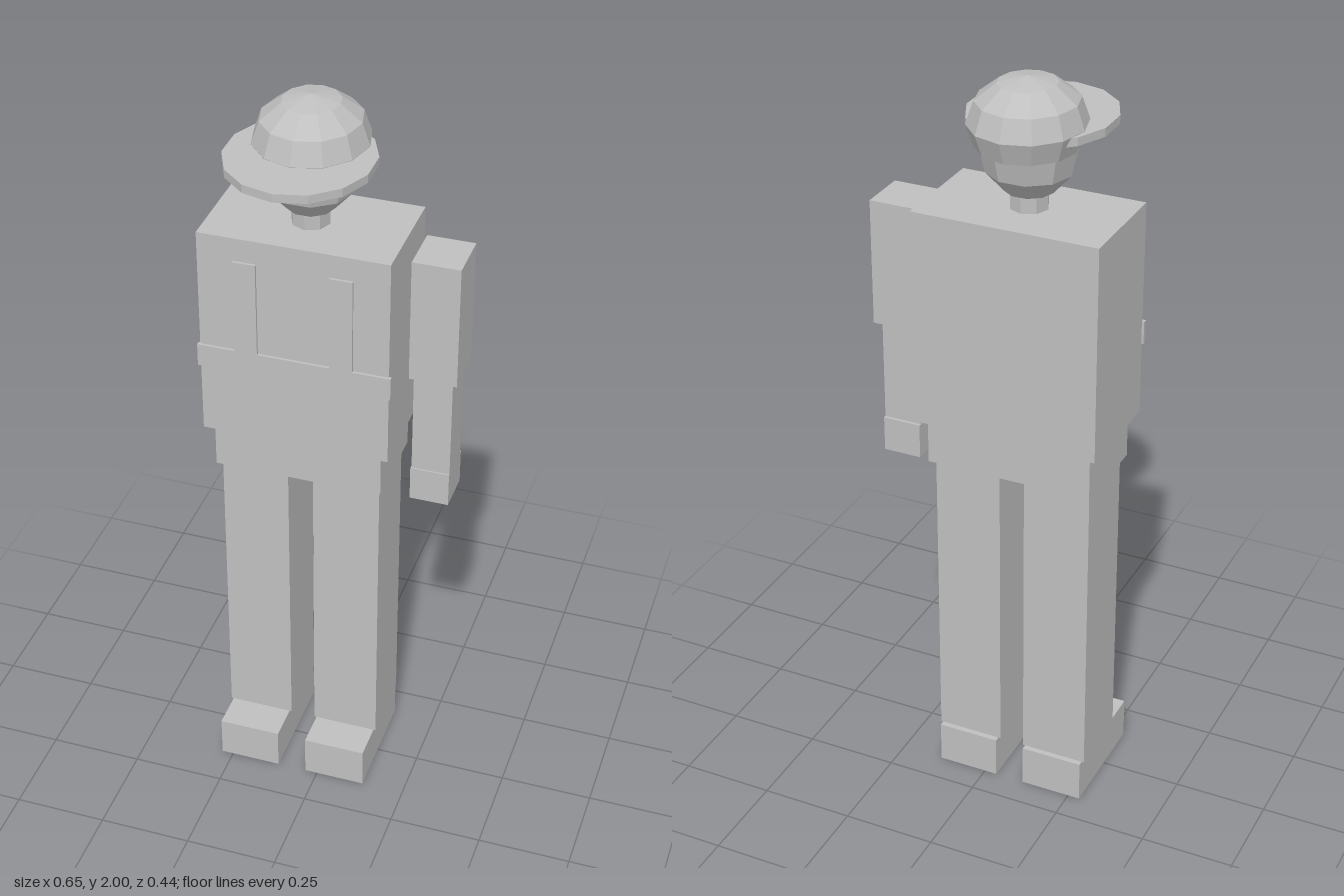
import * as THREE from 'three';

export function createModel() {
  const model = new THREE.Group();
  const grey = new THREE.MeshStandardMaterial({ color: 0xbfbfbf });
  grey.name = 'plain grey';
  const capGrey = grey;
  const midX = -0.074; // the body's own centre line

  const add = (name, geometry) => {
    // split the vertices so every facet stays flat
    const flat = geometry.index ? geometry.toNonIndexed() : geometry;
    flat.computeVertexNormals();
    const mesh = new THREE.Mesh(flat, capGrey);
    mesh.name = name;
    model.add(mesh);
    return mesh;
  };
  // box from its limits along each axis
  const box = (name, x0, x1, y0, y1, z0, z1) => {
    const mesh = add(name, new THREE.BoxGeometry(x1 - x0, y1 - y0, z1 - z0));
    mesh.position.set((x0 + x1) / 2, (y0 + y1) / 2, (z0 + z1) / 2);
    return mesh;
  };

  // torso and hips
  box('torso', -0.321, 0.173, 1.085, 1.663, -0.205, 0.085);
  box('hips', -0.298, 0.149, 0.96, 1.085, -0.18, 0.064);

  // chest band and two straps
  box('chestBand', -0.327, 0.179, 1.28, 1.342, 0.081, 0.092);
  for (const side of [-1, 1]) {
    const x = midX + side * 0.124;
    box(side < 0 ? 'rightStrap' : 'leftStrap', x - 0.03, x + 0.03, 1.342, 1.6, 0.083, 0.092);
  }

  // legs and shoes
  for (const side of [-1, 1]) {
    const label = side < 0 ? 'right' : 'left';
    const x = midX + side * 0.124;
    box(label + 'Leg', x - 0.09, x + 0.09, 0.115, 0.96, -0.155, 0.043);
    box(label + 'Shoe', x - 0.084, x + 0.084, 0, 0.115, -0.17, 0.143);
  }

  // single arm on the left
  box('upperArm', 0.201, 0.325, 1.295, 1.632, -0.127, 0.007);
  box('forearm', 0.211, 0.312, 1.015, 1.295, -0.105, -0.004);
  box('hand', 0.209, 0.312, 0.92, 1.015, -0.113, 0);

  // neck and head
  add('neck', new THREE.CylinderGeometry(0.05, 0.05, 0.1, 8)).position.set(midX, 1.7, -0.055);
  const head = add('head', new THREE.SphereGeometry(1, 10, 6));
  head.scale.set(0.126, 0.14, 0.124);
  head.position.set(midX, 1.83, -0.055);

  // cap: faceted dome reaching a little below its widest ring, closed underneath
  const profile = [[0, -0.5], [0.866, -0.5], [1, 0], [0.866, 0.5], [0.5, 0.866], [0, 1]]
    .map(([r, y]) => new THREE.Vector2(r, y));
  const dome = add('capDome', new THREE.LatheGeometry(profile, 12));
  dome.scale.set(0.146, 0.115, 0.157);
  dome.position.set(midX, 1.885, -0.066);

  const brim = add('capBrim', new THREE.CylinderGeometry(1, 1, 0.022, 14));
  brim.scale.set(0.186, 1, 0.2);
  brim.position.set(midX, 1.873, 0.02);

  return model;
}
